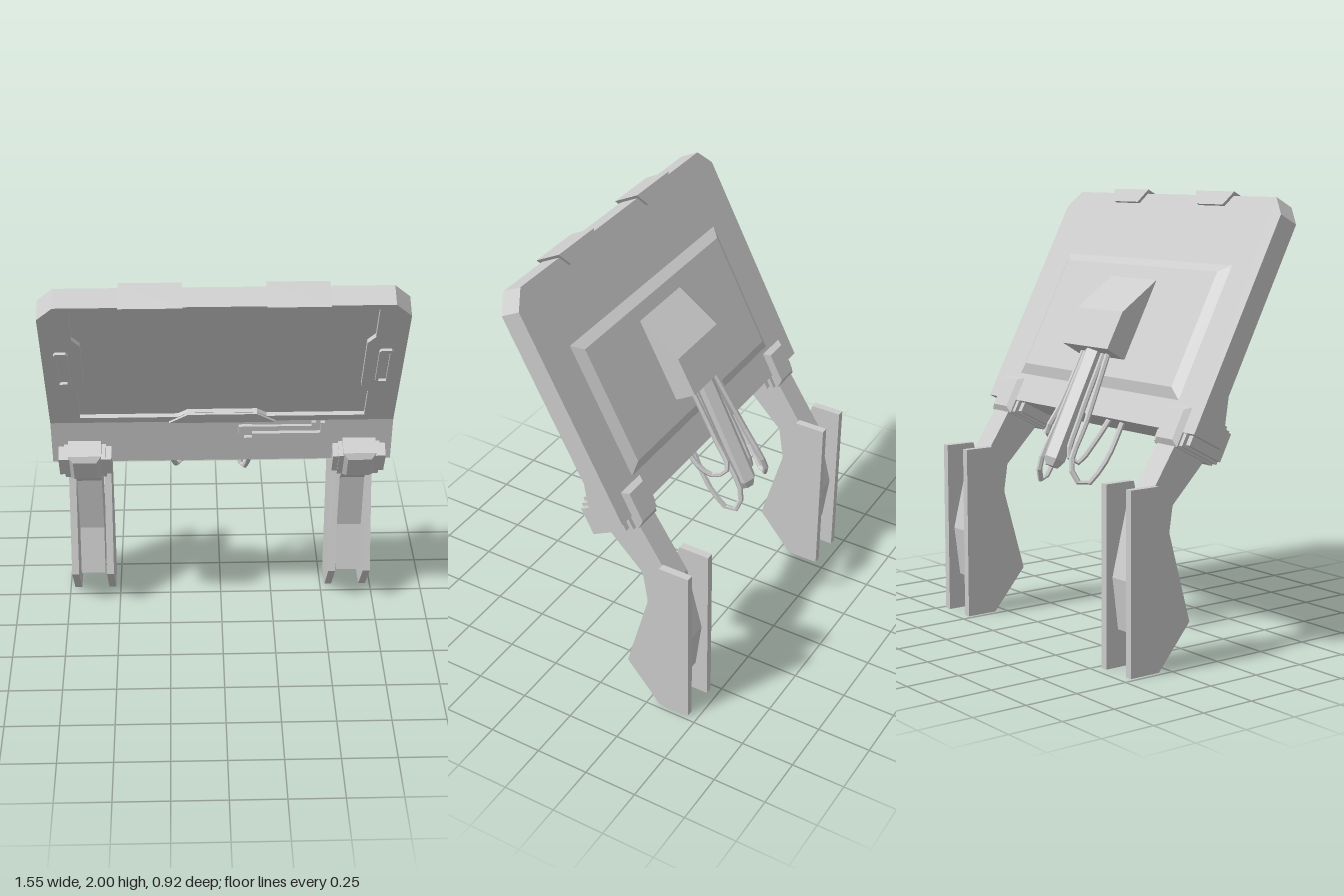
import * as THREE from 'three';

const material = new THREE.MeshStandardMaterial({ color: 0xcccccc, flatShading: true, side: THREE.DoubleSide });

function add(parent, name, geometry, x = 0, y = 0, z = 0) {
  const mesh = new THREE.Mesh(geometry, material);
  mesh.name = name;
  mesh.position.set(x, y, z);
  parent.add(mesh);
  return mesh;
}

const points = (list) => list.map(([x, y]) => new THREE.Vector2(x, y));
const rect = (x0, y0, x1, y1) => [[x0, y0], [x1, y0], [x1, y1], [x0, y1]];

// Outline in x/y, extruded from z0 to z1, with optional holes
function plate(outline, z0, z1, holes = []) {
  const shape = new THREE.Shape(points(outline));
  for (const hole of holes) shape.holes.push(new THREE.Path(points(hole)));
  return new THREE.ExtrudeGeometry(shape, { depth: z1 - z0, bevelEnabled: false }).translate(0, 0, z0);
}

// Side profile in z/y, extruded across x and centred on x = 0
function across(profile, width) {
  return plate(profile, -width / 2, width / 2).rotateY(-Math.PI / 2);
}

// Rectangle with sloped edges; the slopes lie inside the given size
function bevelled(outline, z0, z1, size, thickness) {
  return new THREE.ExtrudeGeometry(new THREE.Shape(points(outline)), {
    depth: z1 - z0 - 2 * thickness, bevelSize: size, bevelOffset: -size,
    bevelThickness: thickness, bevelSegments: 1,
  }).translate(0, 0, z0 + thickness);
}

function buildPanel() {
  // Local y runs up the leaning panel, local z is its front normal
  const panel = new THREE.Group();
  panel.name = 'leaningPanel';
  panel.position.set(0, 1.01, -0.16);
  panel.rotation.x = 0.482;

  const outline = [[-0.775, 0], [0.775, 0], [0.775, 1.02], [0.705, 1.1], [-0.705, 1.1], [-0.775, 1.02]];
  const halfScreen = [[0.2, 0.256], [0.64, 0.256], [0.64, 0.45], [0.607, 0.495], [0.607, 0.825], [0.64, 0.87], [0.64, 1.07]];
  const screen = [...halfScreen, ...halfScreen.map(([x, y]) => [-x, y]).reverse(), [-0.155, 0.29], [0.155, 0.29]];
  add(panel, 'panelBack', plate(outline, 0, 0.08));
  add(panel, 'screenFrame', plate(outline, 0.08, 0.1, [screen]));
  add(panel, 'screenTab', plate([[-0.24, 0.22], [0.24, 0.22], [0.155, 0.288], [-0.155, 0.288]], 0.09, 0.11));

  // Wedge along the lower front edge
  add(panel, 'lowerLip', across([[0.02, 0], [0.174, 0], [0.1, 0.216], [0.02, 0.216]], 1.55));

  // Bevelled cover on the back
  add(panel, 'backCover', bevelled(rect(-0.595, 0.135, 0.595, 0.77), -0.027, 0.037, 0.045, 0.027));

  for (const side of [-1, 1]) {
    // Clip wrapped over the top edge
    add(panel, 'topClip', plate([[-0.088, 1.05], [0.088, 1.05], [0.132, 1.115], [-0.132, 1.115]], -0.014, 0.117), side * 0.305);
    // Slotted grip beside the screen
    const grip = [[-0.03, -0.115], [-0.022, -0.125], [0.022, -0.125], [0.03, -0.115],
      [0.03, 0.115], [0.022, 0.125], [-0.022, 0.125], [-0.03, 0.115]];
    add(panel, 'sideGrip', plate(grip, 0.09, 0.113, [rect(-0.017, -0.105, 0.017, 0.105)]), side * 0.692, 0.658);

    // Hinge clamp: wide flanges around a bevelled block
    const x = side * 0.625;
    add(panel, 'hingeFlange', new THREE.BoxGeometry(0.24, 0.13, 0.19), x, 0.02, 0.12);
    add(panel, 'hingeCollar', new THREE.BoxGeometry(0.19, 0.155, 0.215), x, 0.02, 0.115);
    add(panel, 'hingeBlock', bevelled(rect(-0.075, -0.067, 0.075, 0.115), -0.022, 0.24, 0.022, 0.022), x);
  }

  // Latch rail on the lip
  const latch = new THREE.Group();
  latch.name = 'latch';
  latch.position.set(0, 0.108, 0.139);
  latch.rotation.x = -0.33;
  panel.add(latch);
  add(latch, 'latchCatch', plate([[0.075, 0.01], [0.135, 0.01], [0.135, 0.03], [0.1, 0.03], [0.1, 0.075],
    [0.135, 0.075], [0.135, 0.095], [0.075, 0.095]], -0.01, 0.016));
  add(latch, 'latchRail', plate([[0.135, 0.042], [0.465, 0.042], [0.465, 0.112], [0.445, 0.112],
    [0.445, 0.054], [0.135, 0.054]], -0.01, 0.016));
  add(latch, 'latchRail', plate([[0.135, 0.08], [0.425, 0.08], [0.425, 0.112], [0.405, 0.112],
    [0.405, 0.092], [0.135, 0.092]], -0.01, 0.012));
  return panel;
}

function buildLeg(side) {
  const leg = new THREE.Group();
  leg.name = side > 0 ? 'leftLeg' : 'rightLeg';
  leg.position.x = side * 0.626;
  add(leg, 'strut', across([[-0.03, 0.87], [-0.2, 0.7], [-0.245, 0.4], [-0.19, 0.17], [-0.4, 0.17],
    [-0.43, 0.4], [-0.355, 0.7], [-0.16, 1.0], [-0.06, 1.0]], 0.117));
  for (const s of [-1, 1]) {
    add(leg, 'footPlate', across([[-0.455, 0], [-0.305, 0], [-0.14, 0.195], [-0.31, 0.8], [-0.455, 0.8]], 0.034), s * 0.085);
  }
  return leg;
}

function buildCables() {
  const group = new THREE.Group();
  group.name = 'cableBundle';

  // Six-sided core with a tapered end
  const core = new THREE.Group();
  core.name = 'core';
  core.position.set(0, 1.3, -0.085);
  core.rotation.x = 0.46;
  group.add(core);
  add(core, 'coreRod', new THREE.CylinderGeometry(0.052, 0.052, 0.54, 6), 0, -0.27);
  add(core, 'coreTip', new THREE.CylinderGeometry(0.052, 0.032, 0.035, 6), 0, -0.557);

  // Cables drop from the housing, loop and return under the panel
  const paths = [
    [[-0.09, 1.29, -0.09], [-0.13, 1.0, -0.24], [-0.155, 0.8, -0.345], [-0.2, 0.725, -0.31], [-0.233, 0.82, -0.22], [-0.228, 1.02, -0.1]],
    [[-0.06, 1.29, -0.09], [-0.075, 1.0, -0.24], [-0.085, 0.84, -0.305], [-0.11, 0.81, -0.28], [-0.135, 0.9, -0.2], [-0.14, 1.02, -0.1]],
    [[0.07, 1.29, -0.09], [0.072, 1.0, -0.24], [0.08, 0.78, -0.35], [0.105, 0.7, -0.32], [0.13, 0.79, -0.23], [0.125, 1.02, -0.1]],
    [[0.09, 1.29, -0.09], [0.09, 1.05, -0.22], [0.105, 0.93, -0.29], [0.14, 0.895, -0.24], [0.165, 0.94, -0.17], [0.165, 1.03, -0.1]],
  ];
  for (const path of paths) {
    const curve = new THREE.CatmullRomCurve3(path.map((p) => new THREE.Vector3(...p)));
    add(group, 'cable', new THREE.TubeGeometry(curve, 18, 0.013, 6));
  }
  return group;
}

export function createModel() {
  const model = new THREE.Group();
  model.name = 'standingScreen';
  model.add(buildPanel());
  // Housing on the back where the cables leave
  add(model, 'cableHousing', across([[0.135, 1.617], [-0.07, 1.475], [-0.155, 1.315], [-0.066, 1.262], [0.01, 1.262], [0.17, 1.58]], 0.335));
  model.add(buildCables());
  for (const side of [-1, 1]) model.add(buildLeg(side));
  return model;
}
